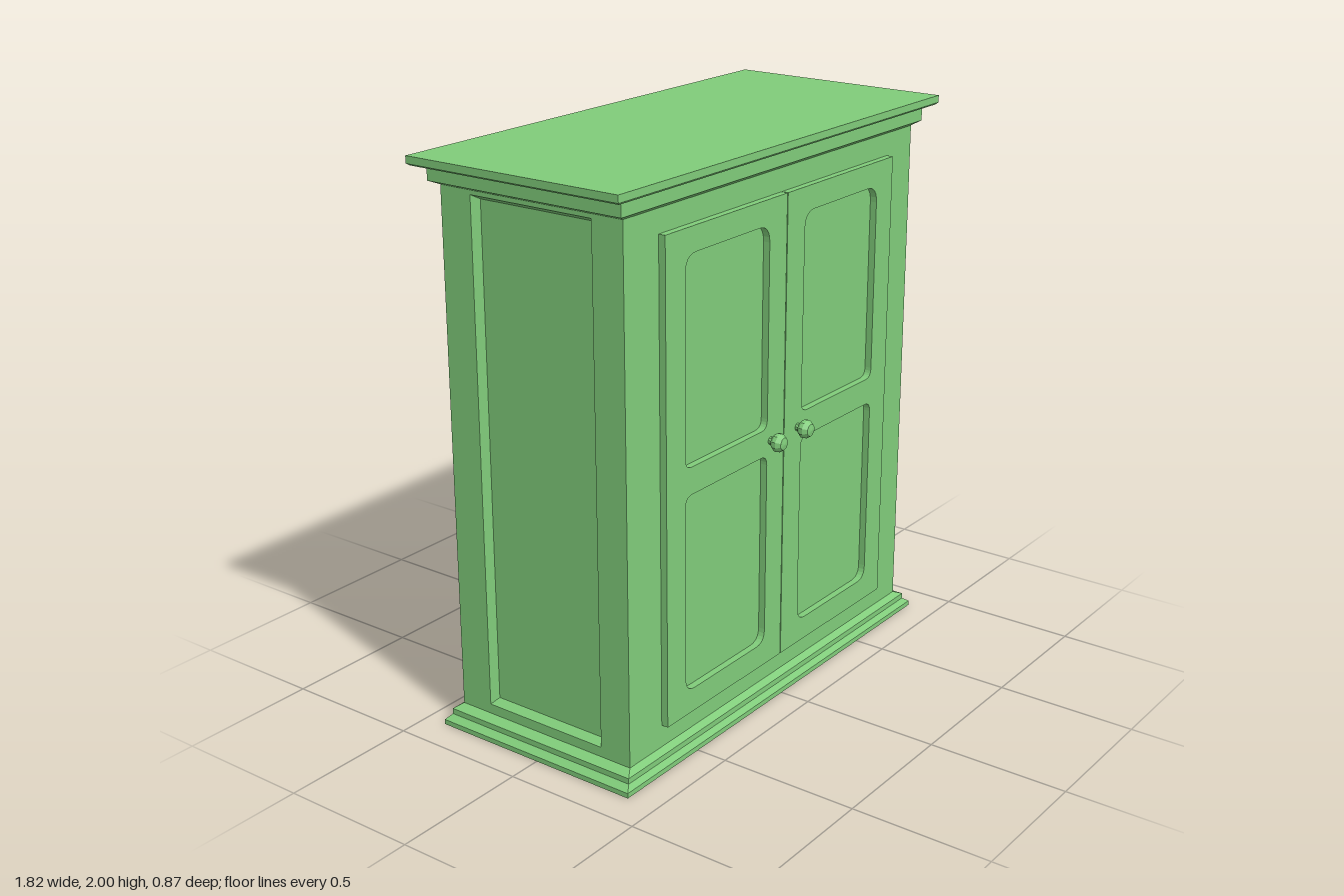
import * as THREE from 'three';

const material = new THREE.MeshStandardMaterial({ color: 0x80cc7a, flatShading: true });
const CENTRE_Z = -0.015;

// Closed solid through rectangular rings [y, x0, x1, z0, z1], capped at both ends
function loft(rings) {
  const loops = rings.map(([y, x0, x1, z0, z1]) => [[x0, y, z1], [x1, y, z1], [x1, y, z0], [x0, y, z0]]);
  const pos = [];
  const quad = (a, b, c, d) => pos.push(...a, ...b, ...c, ...a, ...c, ...d);
  for (let r = 0; r < loops.length - 1; r++) {
    for (let i = 0; i < 4; i++) {
      const j = (i + 1) % 4;
      quad(loops[r][i], loops[r][j], loops[r + 1][j], loops[r + 1][i]);
    }
  }
  const [a, b, c, d] = loops[0];
  quad(d, c, b, a);
  quad(...loops[loops.length - 1]);
  const geo = new THREE.BufferGeometry();
  geo.setAttribute('position', new THREE.Float32BufferAttribute(pos, 3));
  geo.computeVertexNormals();
  return geo;
}

// Moulding running round the cabinet; profile points are [half width, y]
function moulding(profile) {
  return loft(profile.map(([hx, y]) => {
    const hz = 0.365 + (hx - 0.82) * 0.63;
    return [y, -hx, hx, CENTRE_Z - hz, CENTRE_Z + hz];
  }));
}

// Rounded rectangle with separate bottom and top corner radii
function roundedRect(path, x0, x1, y0, y1, rb, rt) {
  path.moveTo(x0 + rb, y0);
  path.lineTo(x1 - rb, y0);
  path.quadraticCurveTo(x1, y0, x1, y0 + rb);
  path.lineTo(x1, y1 - rt);
  path.quadraticCurveTo(x1, y1, x1 - rt, y1);
  path.lineTo(x0 + rt, y1);
  path.quadraticCurveTo(x0, y1, x0, y1 - rt);
  path.lineTo(x0, y0 + rb);
  path.quadraticCurveTo(x0, y0, x0 + rb, y0);
  return path;
}

function door(x0, x1, px0, px1) {
  const shape = new THREE.Shape([[x0, 0.15], [x1, 0.15], [x1, 1.82], [x0, 1.82]]
    .map(([x, y]) => new THREE.Vector2(x, y)));
  shape.holes.push(
    roundedRect(new THREE.Path(), px0, px1, 0.235, 0.935, 0.05, 0.035),
    roundedRect(new THREE.Path(), px0, px1, 1.03, 1.735, 0.035, 0.06)
  );
  return new THREE.ExtrudeGeometry(shape, { depth: 0.025, bevelEnabled: false, curveSegments: 6 });
}

export function createModel() {
  const model = new THREE.Group();
  model.name = 'cabinet';
  const add = (name, geometry, parent = model) => {
    const mesh = new THREE.Mesh(geometry, material);
    mesh.name = name;
    parent.add(mesh);
    return mesh;
  };

  // Carcass, lofted along its width, with a bevelled recessed panel in each side
  const outer = [-1.94, -0.04, -0.38, 0.35];
  const opening = [-1.885, -0.105, -0.255, 0.23];
  const panel = [-1.868, -0.122, -0.24, 0.213];
  const body = loft([
    [-0.79, ...panel], [-0.82, ...opening], [-0.82, ...outer],
    [0.82, ...outer], [0.82, ...opening], [0.79, ...panel]
  ]);
  body.rotateZ(-Math.PI / 2);
  add('body', body);

  // Stepped plinth and cornice
  add('base', moulding([[0.88, 0], [0.88, 0.018], [0.862, 0.03], [0.855, 0.035], [0.855, 0.055], [0.82, 0.07]]));
  add('cornice', moulding([[0.82, 1.9], [0.855, 1.915], [0.855, 1.97]]));
  add('top', moulding([[0.9, 1.968], [0.91, 1.975], [0.91, 2]]));

  // Doors with two recessed panels each
  const doors = new THREE.Group();
  doors.name = 'doors';
  doors.position.z = 0.35;
  model.add(doors);
  add('rightDoor', door(-0.65, 0.003, -0.55, -0.095), doors);
  add('leftDoor', door(0.007, 0.66, 0.11, 0.56), doors);

  // Faceted knobs
  const profile = [[0.014, 0], [0.014, 0.016], [0.024, 0.016], [0.033, 0.028], [0.033, 0.04], [0.022, 0.056], [0, 0.06]]
    .map(([r, y]) => new THREE.Vector2(r, y));
  const knob = new THREE.LatheGeometry(profile, 10).rotateX(Math.PI / 2);
  for (const [name, x] of [['rightKnob', -0.075], ['leftKnob', 0.087]]) {
    add(name, knob).position.set(x, 0.983, 0.375);
  }

  return model;
}
